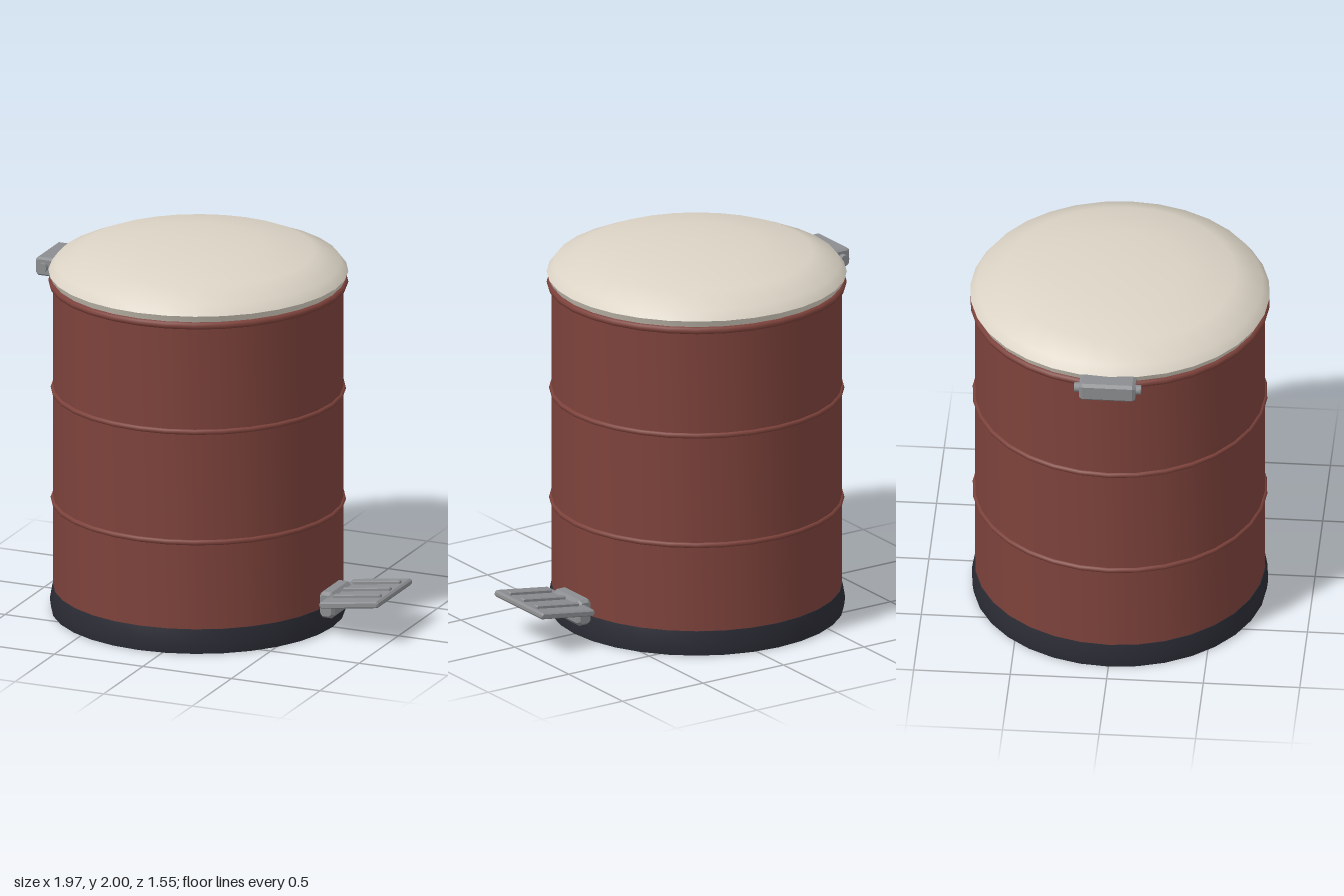
import * as THREE from 'three';
import { toCreasedNormals } from 'three/addons/utils/BufferGeometryUtils.js';

const SIDES = 32;
const CX = -0.13; // axis of the drum

function material(name, color) {
  const m = new THREE.MeshStandardMaterial({ color });
  m.name = name;
  return m;
}

// Turned part from [radius, height] pairs, listed so that the outside runs upward
function turned(points, crease) {
  const geo = new THREE.LatheGeometry(points.map(([r, y]) => new THREE.Vector2(r, y)), SIDES);
  return toCreasedNormals(geo, crease);
}

// Box with every edge chamfered by c
function chamferBox(w, h, d, c) {
  const x = w / 2, y = h / 2;
  const corners = [
    [x - c, -y], [x, -y + c], [x, y - c], [x - c, y],
    [-x + c, y], [-x, y - c], [-x, -y + c], [-x + c, -y],
  ];
  const shape = new THREE.Shape(corners.map(([a, b]) => new THREE.Vector2(a, b)));
  const geo = new THREE.ExtrudeGeometry(shape, {
    depth: d - 2 * c, bevelEnabled: true, bevelSegments: 1,
    bevelThickness: c, bevelSize: c * 0.7, bevelOffset: -c * 0.7,
  });
  return geo.translate(0, 0, -d / 2 + c);
}

export function createModel() {
  const model = new THREE.Group();
  model.name = 'pedalBin';
  const red = material('brick red', 0x7d423b);
  const cream = material('cream', 0xdbd3c5);
  const dark = material('dark slate', 0x2b2c35);
  const steel = material('grey metal', 0x8b8d90);

  function add(name, geo, mat, x = CX, y = 0, z = 0, parent = model) {
    const mesh = new THREE.Mesh(geo, mat);
    mesh.name = name;
    mesh.position.set(x, y, z);
    parent.add(mesh);
    return mesh;
  }

  // Drum with a recessed floor
  add('body', turned([[0, 0.07], [0.75, 0.07], [0.75, 1.8]], 0.6), red);

  // Raised bands and top rim
  for (const [name, y, r, tube] of [
    ['lowerBand', 0.6, 0.748, 0.015],
    ['upperBand', 1.2, 0.748, 0.015],
    ['rim', 1.78, 0.755, 0.02],
  ]) {
    add(name, new THREE.TorusGeometry(r, tube, 8, SIDES).rotateX(Math.PI / 2), red, CX, y);
  }

  // Hollow foot ring
  add('baseRing', turned([
    [0.645, 0.08], [0.645, 0], [0.76, 0], [0.767, 0.05], [0.753, 0.13], [0.74, 0.13],
  ], 0.6), dark);

  // Domed lid
  add('lid', turned([
    [0, 1.8], [0.757, 1.8], [0.775, 1.836], [0.74, 1.884],
    [0.6, 1.945], [0.335, 1.985], [0, 2],
  ], 1.0), cream);

  // Hinge block with a pin through it
  add('hingeBlock', chamferBox(0.13, 0.1, 0.29, 0.015), steel, -0.925, 1.788);
  add('hingePin', new THREE.CylinderGeometry(0.025, 0.025, 0.346, 12).rotateX(Math.PI / 2), steel, -0.938, 1.79);

  // Pedal bracket
  add('pedalBracket', chamferBox(0.09, 0.14, 0.25, 0.02), steel, 0.644, 0.152);

  // Tilted pedal with grip ridges
  const pedal = new THREE.Group();
  pedal.name = 'pedal';
  pedal.position.set(0.815, 0.205, 0);
  pedal.rotation.z = 0.14;
  model.add(pedal);
  add('pedalPlate', chamferBox(0.338, 0.035, 0.445, 0.01), steel, 0, 0, 0, pedal);
  for (const z of [-0.125, 0, 0.125]) {
    add('pedalRidge', chamferBox(0.27, 0.024, 0.032, 0.006), steel, 0.013, 0.022, z, pedal);
  }
  return model;
}
